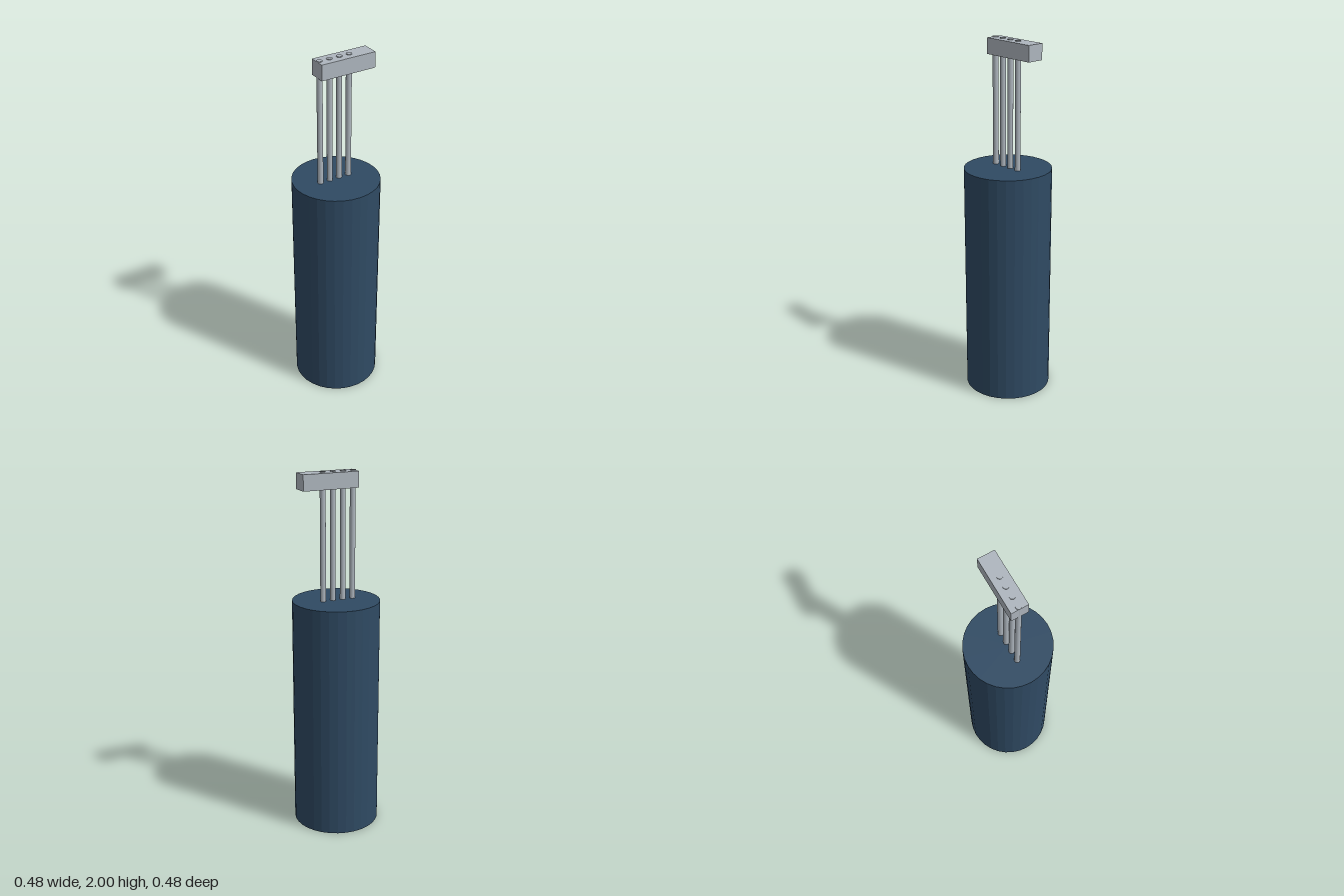
import * as THREE from 'three';

export function createModel() {
  const group = new THREE.Group();
  const navy = new THREE.MeshStandardMaterial({ color: 0x2f4a63 });
  navy.name = 'navy body';
  navy.flatShading = true;
  const grey = new THREE.MeshStandardMaterial({ color: 0xaeb6be });
  grey.name = 'light grey metal';

  const add = (name, geometry, material, x, y) => {
    const mesh = new THREE.Mesh(geometry, material);
    mesh.name = name;
    mesh.position.set(x, y, 0);
    group.add(mesh);
  };

  // Main cylinder
  const bodyHeight = 1.303;
  add('body', new THREE.CylinderGeometry(0.24, 0.24, bodyHeight, 32), navy, 0, bodyHeight / 2);

  // Four rods in a row, ending just above the block
  const rodHeight = 2 - bodyHeight;
  const rod = new THREE.CylinderGeometry(0.0155, 0.0155, rodHeight, 20);
  for (let i = 0; i < 4; i++) {
    add(`rod${i + 1}`, rod, grey, -0.097 + i * 0.058, bodyHeight + rodHeight / 2);
  }

  // Offset block joining the rods
  const left = -0.111, right = 0.206, bottom = 1.91, top = 1.996;
  add('connectorBlock', new THREE.BoxGeometry(right - left, top - bottom, 0.094), grey,
    (left + right) / 2, (bottom + top) / 2);

  return group;
}
